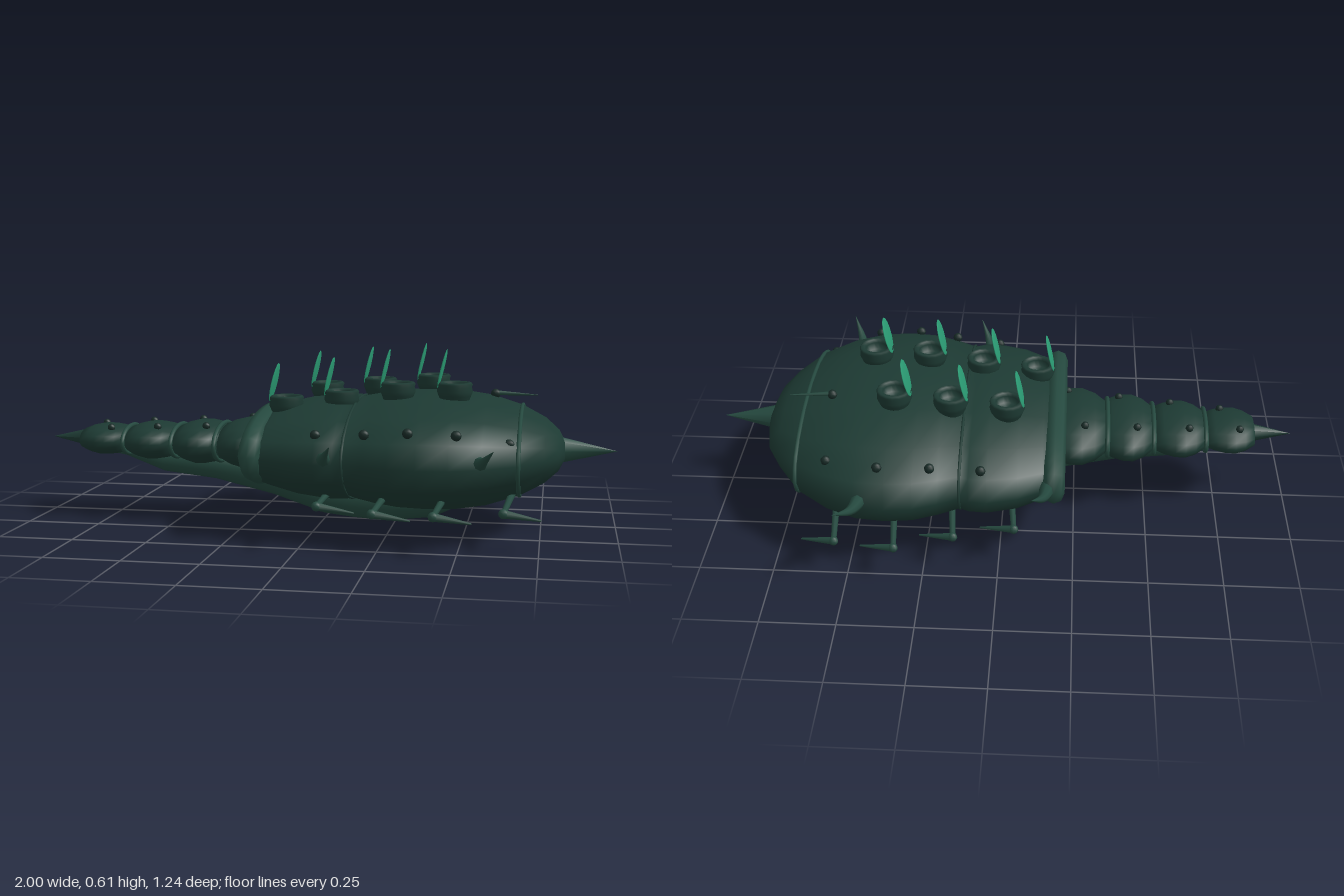
import * as THREE from 'three';

const CY = 0.265, CZ = 0.02; // axis of the body
const mat = (color) => new THREE.MeshStandardMaterial({ color, side: THREE.DoubleSide });
const V = (x, y, z) => new THREE.Vector3(x, y, z);

// Skin over elliptical sections [x, ry, rz, y centre]
function loft(sections, sides = 16) {
  const pos = [], idx = [];
  sections.forEach(([x, ry, rz, cy = CY]) => {
    for (let j = 0; j < sides; j++) {
      const a = (j / sides) * Math.PI * 2;
      pos.push(x, cy + ry * Math.cos(a), CZ + rz * Math.sin(a));
    }
  });
  for (let i = 0; i < sections.length - 1; i++) {
    for (let j = 0; j < sides; j++) {
      const k = (j + 1) % sides, a = i * sides, b = a + sides;
      idx.push(a + j, a + k, b + j, a + k, b + k, b + j);
    }
  }
  const g = new THREE.BufferGeometry();
  g.setAttribute('position', new THREE.Float32BufferAttribute(pos, 3));
  g.setIndex(idx);
  g.computeVertexNormals();
  return g;
}

// Elliptical band around the body
function band(x, ry, rz, tube, cy = CY) {
  const pts = [];
  for (let i = 0; i < 16; i++) {
    const a = (i / 16) * Math.PI * 2;
    pts.push(V(x, cy + ry * Math.cos(a), CZ + rz * Math.sin(a)));
  }
  return new THREE.TubeGeometry(new THREE.CatmullRomCurve3(pts, true), 40, tube, 8, true);
}

// Tube shrinking to a point at its end
function horn(points, radius) {
  const n = 10, sides = 8, curve = new THREE.CatmullRomCurve3(points);
  const g = new THREE.TubeGeometry(curve, n, radius, sides);
  const p = g.attributes.position, v = V(0, 0, 0);
  for (let i = 0; i < p.count; i++) {
    const t = Math.floor(i / (sides + 1)) / n, c = curve.getPointAt(t);
    v.fromBufferAttribute(p, i).sub(c).multiplyScalar(1 - t).add(c);
    p.setXYZ(i, v.x, v.y, v.z);
  }
  return g;
}

// Tapered rod between two points
function rod(a, b, r0, r1) {
  const d = b.clone().sub(a), len = d.length();
  const g = new THREE.CylinderGeometry(r1, r0, len, 8);
  g.applyQuaternion(new THREE.Quaternion().setFromUnitVectors(V(0, 1, 0), d.normalize()));
  g.translate((a.x + b.x) / 2, (a.y + b.y) / 2, (a.z + b.z) / 2);
  return g;
}

export function createModel() {
  const model = new THREE.Group();
  const shell = mat(0x1d3a33), trim = mat(0x25493f), dark = mat(0x172a26), leafMat = mat(0x2b9c74);
  const add = (name, geo, material = shell, parent = model) => {
    const m = new THREE.Mesh(geo, material);
    m.name = name;
    parent.add(m);
    return m;
  };

  // Broad flattened body with a shallow waist
  add('body', loft([
    [-0.21, 0, 0], [-0.2, 0.115, 0.37], [-0.14, 0.14, 0.39], [-0.06, 0.16, 0.435], [0.04, 0.172, 0.46],
    [0.1, 0.172, 0.455], [0.13, 0.168, 0.442], [0.2, 0.182, 0.475], [0.28, 0.192, 0.505], [0.37, 0.195, 0.515],
    [0.47, 0.192, 0.505], [0.57, 0.178, 0.462], [0.68, 0.145, 0.38], [0.76, 0.105, 0.265], [0.805, 0.065, 0.185],
    [0.825, 0.03, 0.08], [0.825, 0, 0],
  ]));
  add('noseBand', band(0.68, 0.145, 0.382, 0.007), trim);
  add('waistBand', band(0.13, 0.167, 0.443, 0.005));
  add('collar', band(-0.18, 0.1, 0.385, 0.036, 0.275), trim);

  // Swelling tail segments: start x, end x, height radius, width radius
  const tail = [[-0.87, -0.7, 0.055, 0.12], [-0.7, -0.52, 0.066, 0.15], [-0.52, -0.34, 0.076, 0.178], [-0.36, -0.14, 0.088, 0.205]];
  tail.forEach(([x0, x1, ry, rz], i) => {
    const s = [[x0, 0, 0]];
    [0.64, 0.88, 1, 0.99, 0.9, 0.75].forEach((k, j) => s.push([x0 + (x1 - x0) * (j / 5), ry * k, rz * k]));
    s.push([x1, 0, 0]);
    add('tailSegment', loft(s));
    if (i) add('tailBand', band(x0, ry * 0.74, rz * 0.74, 0.008), trim);
    for (const side of [-1, 1]) {
      const bump = add('tailBump', new THREE.SphereGeometry(0.014, 8, 6), dark);
      bump.position.set((x0 + x1) / 2 + side * 0.03, CY + ry * 0.85, CZ + side * rz * 0.52);
    }
  });

  // End spikes
  add('tailSpike', rod(V(-0.83, CY, CZ - 0.01), V(-1, CY, CZ - 0.01), 0.04, 0));
  add('noseSpike', rod(V(0.8, CY, CZ), V(1, CY, CZ), 0.047, 0), trim);

  // Keel sweeping under the belly: x, bottom y, half height, half width
  const keel = [[-0.8, 0.22, 0.005, 0.005], [-0.72, 0.205, 0.018, 0.018], [-0.58, 0.152, 0.04, 0.028], [-0.39, 0.13, 0.045, 0.034],
    [-0.18, 0.08, 0.06, 0.036], [0, 0.02, 0.06, 0.036], [0.1, 0.008, 0.06, 0.036], [0.22, 0, 0.06, 0.036],
    [0.38, 0.018, 0.048, 0.034], [0.48, 0.065, 0.02, 0.018], [0.54, 0.09, 0.001, 0.001]];
  add('keel', loft(keel.map(([x, b, h, w]) => [x, h, w, b + h]), 10), trim);

  // Two rows of open cups, each with a leaf-shaped fin: x, rim y, z
  const profile = [[0.045, -0.07], [0.054, -0.045], [0.06, -0.03], [0.056, -0.015], [0.06, -0.006], [0.055, 0],
    [0.043, 0], [0.038, -0.01], [0.036, -0.035], [0, -0.035]].map(([r, y]) => new THREE.Vector2(r, y));
  const cups = [[-0.11, 0.445, 0.137], [0.08, 0.468, 0.137], [0.27, 0.498, 0.137], [0.46, 0.5, 0.137],
    [-0.015, 0.467, -0.133], [0.175, 0.485, -0.133], [0.365, 0.5, -0.133]];
  for (const [x, y, z] of cups) {
    const unit = new THREE.Group();
    unit.name = 'cupWithFin';
    unit.position.set(x, y, z);
    model.add(unit);
    add('cup', new THREE.LatheGeometry(profile, 16), shell, unit);
    const fin = add('fin', new THREE.SphereGeometry(1, 10, 8), leafMat, unit);
    fin.scale.set(0.005, 0.068, 0.05);
    fin.position.set(-0.042, 0.044, 0);
    fin.rotation.z = -0.23;
  }

  // Jointed legs: joint x, joint z
  const legs = [[0.05, 0.45], [0.24, 0.54], [0.43, 0.55], [0.64, 0.465], [-0.05, -0.4], [0.15, -0.45], [0.34, -0.515], [0.54, -0.49]];
  for (const [x, z] of legs) {
    const s = Math.sign(z), leg = new THREE.Group(), joint = V(x, 0.128, z);
    leg.name = 'leg';
    model.add(leg);
    add('upperLeg', rod(V(x + 0.02, 0.155, z - s * 0.22), joint, 0.013, 0.009), trim, leg);
    add('joint', new THREE.SphereGeometry(0.016, 8, 6), trim, leg).position.copy(joint);
    add('claw', rod(joint, V(x + 0.115, 0.103, z - s * 0.035), 0.014, 0.003), trim, leg);
  }

  // Curved side horns: base x, z and tip x, z
  for (const [x, z, tx, tz] of [[0.07, 0.43, 0.12, 0.61], [0.56, 0.43, 0.615, 0.61], [-0.16, -0.36, -0.11, -0.52], [0.45, -0.45, 0.51, -0.625]]) {
    add('sideHorn', horn([V(x, 0.275, z), V(x + (tx - x) * 0.3, 0.295, (z + tz) / 2), V(tx, 0.345, tz)], 0.028), trim);
  }

  // Small feeler on the back
  add('feelerBase', new THREE.SphereGeometry(0.017, 8, 6), dark).position.set(0.585, 0.44, -0.09);
  add('feeler', rod(V(0.585, 0.443, -0.09), V(0.73, 0.437, -0.095), 0.009, 0.001), trim);

  // Warts along the shoulders
  for (const [x, y, z] of [[0.04, 0.352, 0.415], [0.2, 0.36, 0.44], [0.34, 0.37, 0.46], [0.49, 0.365, 0.45], [0.65, 0.33, 0.365],
    [0.06, 0.355, -0.385], [0.225, 0.37, -0.4], [0.395, 0.375, -0.41], [0.57, 0.36, -0.36]]) {
    add('wart', new THREE.SphereGeometry(0.017, 8, 6), dark).position.set(x, y, z);
  }
  return model;
}
